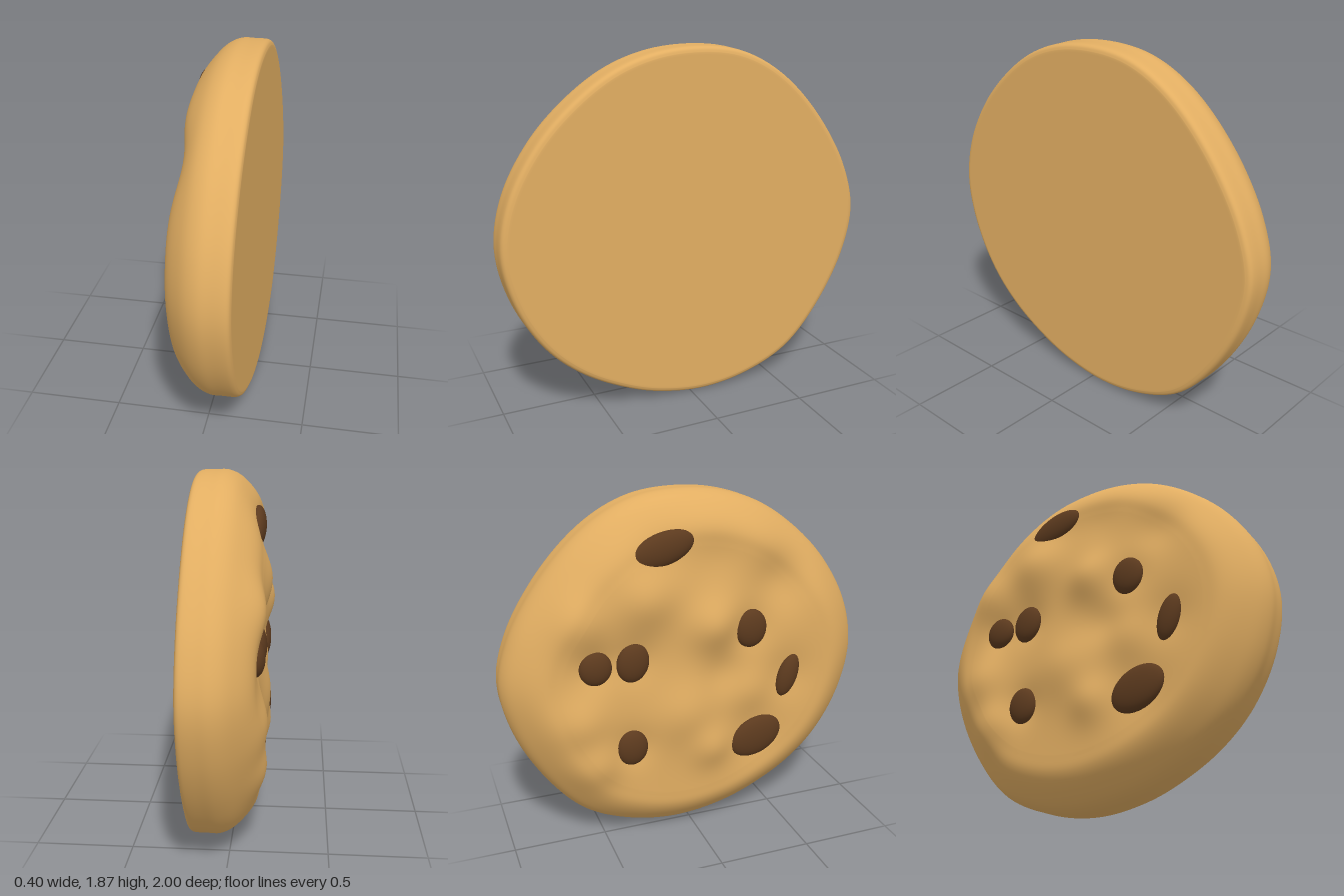
import * as THREE from 'three';

const MID_Y = 0.93;
const SEGMENTS = 160;

// Uneven round outline of the biscuit as [z, y]
const OUTLINE = [
  [1, 0.93], [0.95, 1.19], [0.8, 1.45], [0.6, 1.65], [0.4, 1.78], [0.19, 1.85], [-0.04, 1.87],
  [-0.25, 1.845], [-0.43, 1.77], [-0.61, 1.635], [-0.8, 1.415], [-0.94, 1.17], [-1, 0.93], [-0.95, 0.67],
  [-0.8, 0.38], [-0.6, 0.155], [-0.35, 0.04], [-0.08, 0], [0.19, 0.035], [0.4, 0.11], [0.62, 0.235],
  [0.8, 0.405], [0.94, 0.65],
];

// Rim from the baked top round to the flat base as [x, inset]
const RIM = [
  [-0.14, 0.26], [-0.135, 0.19], [-0.115, 0.14], [-0.07, 0.08], [-0.01, 0.025], [0.05, 0], [0.11, 0],
  [0.165, 0.001], [0.182, 0.005], [0.193, 0.014], [0.2, 0.032],
];

// Swellings (+) and hollows (-) of the top: [z, y, radius, height]
const BUMPS = [
  [-0.28, 1.38, 0.17, 0.06], [0.08, 1.2, 0.14, 0.057], [-0.63, 0.75, 0.15, 0.05], [-0.56, 0.5, 0.13, 0.045],
  [-0.62, 1.28, 0.14, 0.04], [-0.08, 0.72, 0.18, 0.045], [0.08, 0.5, 0.12, 0.04], [0.3, 0.8, 0.13, 0.02],
  [0.48, 1.4, 0.17, -0.05], [0.12, 1.55, 0.15, -0.02], [0.15, 0.92, 0.12, -0.02],
];

// Chips: [z, y, half width, half height, tilt, x]
const CHIPS = [
  [-0.18, 1.61, 0.17, 0.085, 0.3, -0.115],
  [0.3, 1.15, 0.09, 0.105, 0, -0.125],
  [0.53, 0.85, 0.06, 0.125, -0.3, -0.12],
  [0.345, 0.515, 0.155, 0.11, 0.4, -0.13],
  [-0.35, 1.045, 0.085, 0.105, -0.2, -0.13],
  [-0.545, 1.04, 0.085, 0.09, 0, -0.13],
  [-0.365, 0.57, 0.085, 0.1, 0, -0.13],
];

const gauss = (z, y, cz, cy, r) => Math.exp(-((z - cz) ** 2 + (y - cy) ** 2) / (r * r));

// How far the top rises at a point, with a shallow hollow around every chip
function relief(z, y) {
  let h = 0;
  for (const [cz, cy, r, a] of BUMPS) h += a * gauss(z, y, cz, cy, r);
  for (const [cz, cy, w, t] of CHIPS) h -= 0.025 * gauss(z, y, cz, cy, Math.max(w, t) * 1.15);
  return h;
}

function doughGeometry() {
  const loop = new THREE.CatmullRomCurve3(
    OUTLINE.map(([z, y]) => new THREE.Vector3(0, y - MID_Y, z)), true, 'centripetal');
  const edge = loop.getSpacedPoints(SEGMENTS).slice(0, SEGMENTS);

  // Rings as [scale, x, relief weight]: top face, rounded rim, flat base
  const rings = [];
  for (let i = 0; i < 56; i++) rings.push([0.735 * i / 56, -0.14, 1]);
  const rim = new THREE.CatmullRomCurve3(RIM.map(([x, inset]) => new THREE.Vector3(x, inset, 0)), false, 'centripetal');
  for (const p of rim.getPoints(50)) {
    rings.push([1 - p.y / 0.96, p.x, 1 - THREE.MathUtils.smoothstep(p.x, -0.13, 0.03)]);
  }
  for (const s of [0.955, 0.94, 0.7, 0.35, 0]) rings.push([s, 0.2, 0]);

  const pos = [], index = [];
  for (const [s, x, weight] of rings) {
    for (const e of edge) {
      const y = e.y * s + MID_Y, z = e.z * s;
      pos.push(x - weight * relief(z, y), y, z);
    }
  }
  for (let i = 0; i < rings.length - 1; i++) {
    for (let j = 0; j < SEGMENTS; j++) {
      const k = (j + 1) % SEGMENTS;
      const a = i * SEGMENTS + j, b = i * SEGMENTS + k;
      const c = a + SEGMENTS, d = b + SEGMENTS;
      index.push(a, c, b, b, c, d);
    }
  }
  const geo = new THREE.BufferGeometry();
  geo.setAttribute('position', new THREE.Float32BufferAttribute(pos, 3));
  geo.setIndex(index);
  geo.computeVertexNormals();
  return geo;
}

export function createModel() {
  const model = new THREE.Group();
  model.name = 'biscuit';

  const dough = new THREE.Mesh(doughGeometry(), new THREE.MeshStandardMaterial({ color: 0xe2ae62 }));
  dough.name = 'dough';
  model.add(dough);

  // Dark chips half sunk into the top
  const chips = new THREE.Group();
  chips.name = 'chips';
  const chipGeometry = new THREE.SphereGeometry(1, 32, 20);
  const chipMaterial = new THREE.MeshStandardMaterial({ color: 0x5c3a1e });
  CHIPS.forEach(([z, y, w, h, tilt, x], i) => {
    const chip = new THREE.Mesh(chipGeometry, chipMaterial);
    chip.name = `chip${i + 1}`;
    chip.position.set(x, y, z);
    chip.rotation.x = -tilt;
    chip.scale.set(0.045, h, w);
    chips.add(chip);
  });
  model.add(chips);
  return model;
}
